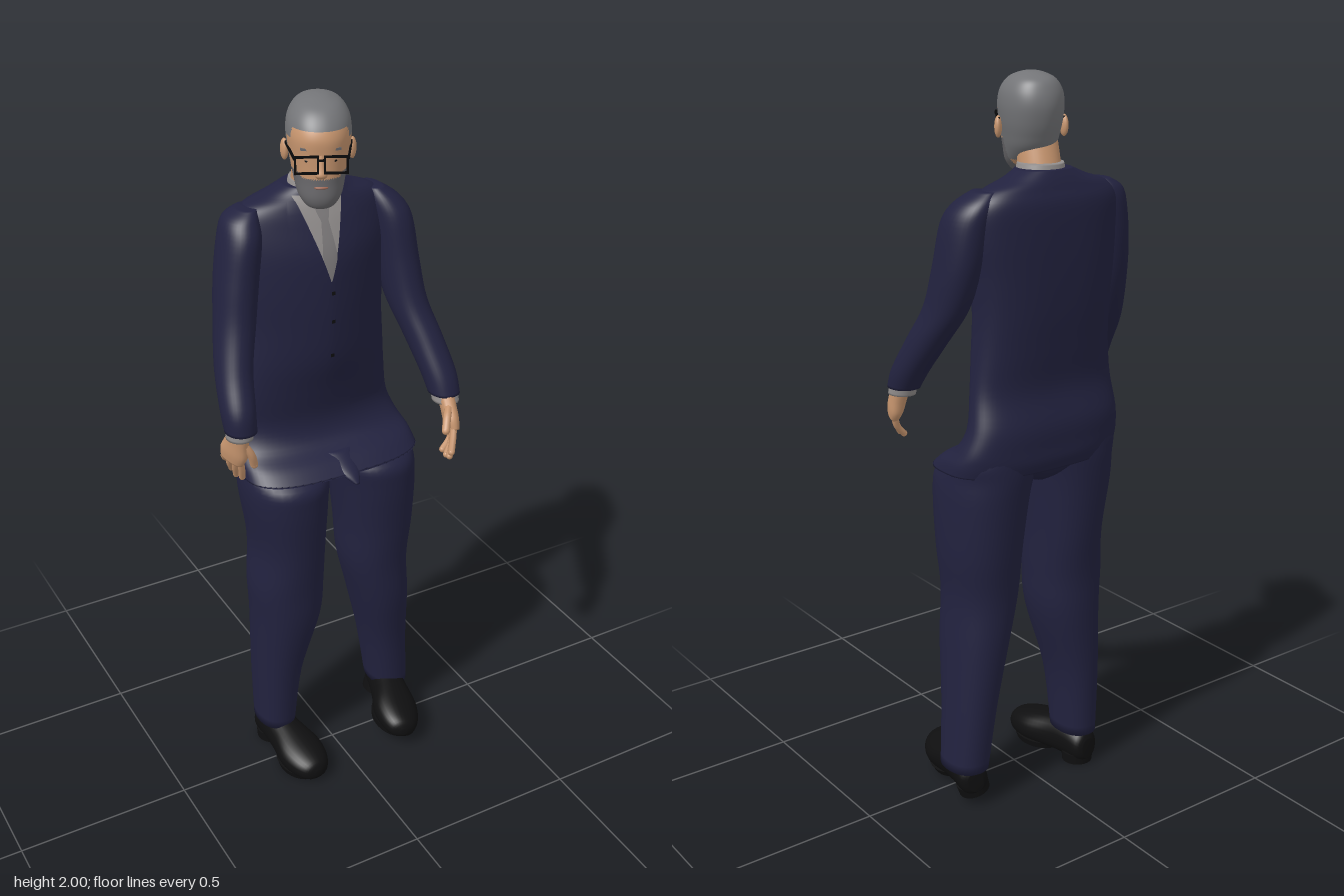
import * as THREE from 'three';

const mat = (name, hex) => {
  const m = new THREE.MeshStandardMaterial({ color: hex });
  m.name = name;
  return m;
};

// Smoothly interpolated cross-section [x, y, z, rx, rz, front squareness] at ring position t
function section(rings, t) {
  const i = Math.min(Math.floor(t), rings.length - 2), u = t - i;
  const r = k => rings[THREE.MathUtils.clamp(k, 0, rings.length - 1)];
  return r(i).map((b, k) => {
    const a = r(i - 1)[k], c = r(i + 1)[k], d = r(i + 2)[k];
    return b + 0.5 * u * (c - a + u * (2 * a - 5 * b + 4 * c - d + u * (3 * (b - c) + d - a)));
  });
}

// Closed body through horizontal rings listed from bottom to top
function loft(rings, n = 2, segs = 36, steps = 5) {
  const pos = [], idx = [], rows = (rings.length - 1) * steps;
  const bend = (v, p) => Math.sign(v) * Math.abs(v) ** (2 / p);
  for (let i = 0; i <= rows; i++) {
    const [x, y, z, rx, rz, front = n] = section(rings, i / steps);
    for (let j = 0; j < segs; j++) {
      const a = (j / segs) * Math.PI * 2, p = Math.sin(a) > 0 ? front : n;
      pos.push(x + rx * bend(Math.cos(a), p), y, z + rz * bend(Math.sin(a), p));
    }
  }
  for (let i = 0; i < rows; i++) for (let j = 0; j < segs; j++) {
    const a = i * segs + j, b = i * segs + (j + 1) % segs;
    idx.push(a, a + segs, b, b, a + segs, b + segs);
  }
  const lo = rings[0], hi = rings[rings.length - 1], c = pos.length / 3, top = rows * segs;
  pos.push(lo[0], lo[1], lo[2], hi[0], hi[1], hi[2]);
  for (let j = 0; j < segs; j++) {
    const k = (j + 1) % segs;
    idx.push(c, j, k, c + 1, top + k, top + j);
  }
  return geometry(pos, idx);
}

function geometry(pos, idx) {
  const g = new THREE.BufferGeometry();
  g.setAttribute('position', new THREE.Float32BufferAttribute(pos, 3));
  g.setIndex(idx);
  g.computeVertexNormals();
  return g;
}

// Thin panel lying on the front of a lofted body, between left(y) and right(y)
function panel(rings, y0, y1, left, right, off) {
  const pos = [], idx = [], R = 14, C = 8;
  for (let i = 0; i <= R; i++) {
    const y = y0 + (y1 - y0) * i / R;
    let a = 0, b = rings.length - 1;
    for (let k = 0; k < 30; k++) {
      const m = (a + b) / 2;
      if (section(rings, m)[1] < y) a = m; else b = m;
    }
    const [cx, , cz, rx, rz, n] = section(rings, a);
    for (let j = 0; j <= C; j++) {
      const x = left(y) + (right(y) - left(y)) * j / C;
      const d = Math.min(1, Math.abs((x - cx) / rx));
      pos.push(x, y, cz + rz * (1 - d ** n) ** (1 / n) + off);
    }
  }
  for (let i = 0; i < R; i++) for (let j = 0; j < C; j++) {
    const a = i * (C + 1) + j, b = a + C + 1;
    idx.push(a, a + 1, b, a + 1, b + 1, b);
  }
  return geometry(pos, idx);
}

// Sort triangles into material groups by their centre
function paint(g, count, rule) {
  const p = g.attributes.position, old = g.index.array, sets = Array.from({ length: count }, () => []);
  for (let i = 0; i < old.length; i += 3) {
    const f = [old[i], old[i + 1], old[i + 2]];
    const mid = fn => f.reduce((s, k) => s + fn(k), 0) / 3;
    sets[rule(mid(k => p.getX(k)), mid(k => p.getY(k)), mid(k => p.getZ(k)))].push(...f);
  }
  g.setIndex(sets.flat());
  let start = 0;
  sets.forEach((s, m) => { g.addGroup(start, s.length, m); start += s.length; });
  return g;
}

export function createModel() {
  const model = new THREE.Group();
  model.name = 'suitedMan';
  const suit = mat('navy cloth', 0x22223f), shirt = mat('grey shirt', 0x928e8d), tie = mat('grey tie', 0x7d7a7b);
  const skin = mat('skin', 0xc8966f), hair = mat('grey hair', 0x747578), beard = mat('grey beard', 0x69686b);
  const leather = mat('black leather', 0x0f0f10), frame = mat('black frame', 0x080809), lip = mat('lips', 0x9a6450);
  const add = (name, geo, m, parent = model) => {
    const mesh = new THREE.Mesh(geo, m);
    mesh.name = name;
    parent.add(mesh);
    return mesh;
  };
  const group = (name, parent = model) => {
    const g = new THREE.Group();
    g.name = name;
    parent.add(g);
    return g;
  };

  // Jacket
  const torso = [[.015, .985, -.068, .262, .145, 3], [.015, 1.015, -.09, .258, .13, 2.8], [.012, 1.05, -.12, .248, .1, 2.5],
    [.005, 1.11, -.13, .234, .088, 2.1], [0, 1.2, -.112, .222, .084, 1.8], [0, 1.3, -.105, .212, .1, 1.65],
    [0, 1.4, -.107, .208, .109, 1.6], [0, 1.5, -.11, .215, .112, 1.6], [.005, 1.6, -.115, .224, .109, 1.6],
    [.005, 1.68, -.127, .222, .094, 1.7], [.005, 1.72, -.13, .19, .078, 1.9], [.005, 1.745, -.13, .12, .068, 2],
    [.005, 1.765, -.125, .074, .062, 2]];
  add('jacket', loft(torso, 2.6, 64), suit);
  add('jacketFrontTip', loft([[.025, .965, .088, .01, .014], [.02, .99, .055, .03, .024], [.015, 1.03, -.005, .045, .024]]), suit);
  const vee = y => .062 * (y - 1.53) / .2;
  const onChest = (name, m, y0, y1, l, r, off) => add(name, panel(torso, y0, y1, l, r, off), m);
  onChest('shirtFront', shirt, 1.53, 1.75, y => -.005 - vee(y), y => -.005 + vee(y), .004);
  const tieHalf = y => y > 1.69 ? .013 + (y - 1.69) * .25 : Math.min(.01 + (1.69 - y) * .12, vee(y));
  onChest('tie', tie, 1.535, 1.73, y => -.005 - tieHalf(y), y => -.005 + tieHalf(y), .008);
  const flare = y => vee(y) + .055 * Math.sin(Math.PI * Math.min(1, (y - 1.52) / .24)) ** .7;
  onChest('leftLapel', suit, 1.525, 1.74, y => -.005 + Math.max(0, vee(y)), y => -.005 + flare(y), .008);
  onChest('rightLapel', suit, 1.525, 1.74, y => -.005 - flare(y), y => -.005 - Math.max(0, vee(y)), .008);
  for (const s of [-1, 1])
    onChest('pocketFlap', suit, 1.13, 1.165, () => s * .13 - .055, () => s * .13 + .055, .007);
  for (const y of [1.32, 1.42, 1.5])
    onChest('button', leather, y - .005, y + .005, () => -.005, () => .005, .006);

  // Trousers
  add('trouserSeat', loft([[.015, .935, -.08, .03, .07], [.015, .96, -.085, .09, .105], [.015, 1.0, -.095, .17, .117],
    [.012, 1.06, -.13, .2, .085]], 2.2), suit);
  add('rightTrouserLeg', loft([[-.16, .1, -.075, .056, .076], [-.152, .3, -.07, .069, .09], [-.127, .5, -.058, .098, .11],
    [-.125, .62, -.055, .106, .115], [-.118, .75, -.058, .103, .128], [-.123, .9, -.06, .117, .142],
    [-.12, .97, -.068, .121, .14], [-.115, 1.02, -.11, .118, .098], [-.11, 1.08, -.13, .1, .075]], 2.2), suit);
  add('leftTrouserLeg', loft([[.23, .11, -.075, .06, .076], [.208, .3, -.07, .068, .09], [.181, .48, -.058, .084, .11],
    [.16, .62, -.055, .097, .115], [.162, .75, -.058, .107, .128], [.156, .9, -.06, .117, .142],
    [.147, .97, -.068, .121, .14], [.14, 1.02, -.11, .118, .098], [.12, 1.08, -.13, .1, .075]], 2.2), suit);

  // Sleeves and shirt cuffs
  add('rightSleeve', loft([[-.283, 1.18, .022, .042, .046], [-.282, 1.24, .005, .045, .055], [-.266, 1.33, -.045, .048, .06],
    [-.24, 1.44, -.085, .053, .066], [-.222, 1.55, -.105, .055, .073], [-.205, 1.65, -.115, .053, .074],
    [-.195, 1.7, -.125, .044, .06], [-.178, 1.724, -.128, .024, .038]], 2.1), suit);
  add('leftSleeve', loft([[.29, 1.185, .1, .042, .047], [.286, 1.24, .07, .047, .056], [.27, 1.33, .01, .05, .064],
    [.25, 1.42, -.045, .052, .07], [.238, 1.53, -.08, .055, .076], [.225, 1.64, -.098, .055, .075],
    [.208, 1.69, -.112, .046, .063], [.185, 1.722, -.124, .024, .04]], 2.1), suit);
  add('rightCuff', loft([[-.286, 1.16, .02, .036, .039], [-.285, 1.2, .017, .036, .039]]), shirt);
  add('leftCuff', loft([[.29, 1.164, .11, .036, .04], [.29, 1.2, .098, .036, .04]]), shirt);

  // Hands
  function hand(name, x, y, z, tilt, turn, swing, inward) {
    const h = group(name);
    h.position.set(x, y, z);
    h.rotation.set(tilt, turn, swing);
    add('palm', loft([[0, -.1, 0, .016, .036], [0, -.07, 0, .021, .042], [0, -.03, 0, .022, .034], [0, .03, 0, .024, .025]], 2.3, 20), skin, h);
    const finger = (n, px, py, pz, r, pts) => add(n, new THREE.TubeGeometry(new THREE.CatmullRomCurve3(
      pts.map(([a, b, c]) => new THREE.Vector3(px + a * inward, py + b, pz + c))), 10, r, 8), skin, h);
    [.055, .07, .075, .065].forEach((len, i) => {
      const pz = -.027 + i * .018, curl = .036 - i * .005;
      finger('finger', 0, -.09, pz, .0092, [[0, 0, 0], [.01, -len * .5, pz * .15], [curl, -len, pz * .2]]);
      const tip = add('fingertip', new THREE.SphereGeometry(.0092, 10, 8), skin, h);
      tip.position.set(curl * inward, -.09 - len, pz * 1.2);
    });
    finger('thumb', 0, -.03, .02, .011, [[0, 0, 0], [.014, -.03, .024], [.026, -.065, .034]]);
    add('thumbTip', new THREE.SphereGeometry(.011, 10, 8), skin, h).position.set(.026 * inward, -.095, .054);
  }
  hand('rightHand', -.288, 1.178, .025, .36, .45, -.12, 1);
  hand('leftHand', .288, 1.18, .115, -.56, -.4, -.05, -1);

  // Shoes, built heel to toe
  function shoe(name, x, y, yaw, roll) {
    const s = group(name);
    s.position.set(x, y, -.06);
    s.rotation.set(0, yaw, roll);
    const upper = loft([[0, -.088, -.05, .022, .03], [0, -.07, -.055, .042, .048], [0, -.01, -.062, .048, .058],
      [0, .05, -.056, .055, .056], [0, .12, -.048, .068, .05], [0, .175, -.042, .06, .042],
      [0, .212, -.038, .039, .03], [0, .225, -.036, .01, .01]], 2.2, 28).rotateX(Math.PI / 2);
    const p = upper.attributes.position;
    for (let i = 0; i < p.count; i++) p.setY(i, Math.max(.016, p.getY(i)));
    upper.computeVertexNormals();
    add('shoeUpper', upper, leather, s);
    const ball = add('sole', new THREE.CylinderGeometry(.066, .06, .02, 28), leather, s);
    ball.scale.z = 1.3;
    ball.position.set(0, .01, .122);
    const heel = add('heel', new THREE.CylinderGeometry(.046, .044, .03, 24), leather, s);
    heel.position.set(0, .015, -.04);
  }
  shoe('rightShoe', -.155, 0, .09, 0);
  shoe('leftShoe', .204, .032, -.24, -.28);

  // Neck and shirt collar
  add('neck', loft([[.005, 1.7, -.12, .058, .058], [.003, 1.76, -.112, .055, .057], [0, 1.84, -.09, .055, .055]]), skin);
  add('shirtCollar', loft([[.005, 1.715, -.12, .07, .068], [.005, 1.75, -.118, .066, .065], [.005, 1.778, -.118, .059, .06]]), shirt);

  // Head, turned to its right
  const head = group('head');
  head.position.set(.005, 0, -.08);
  head.rotation.y = -.44;
  const skull = loft([[0, 1.738, .077, .02, .022], [0, 1.748, .074, .038, .042], [0, 1.772, .054, .056, .071],
    [0, 1.81, .03, .066, .094], [0, 1.845, .02, .073, .104], [0, 1.88, .014, .079, .111], [0, 1.92, .011, .082, .115],
    [0, 1.955, .006, .076, .104], [0, 1.982, 0, .057, .081], [0, 1.996, -.003, .028, .041], [0, 2, -.003, .004, .006]], 2.2, 80, 7);
  const headRule = (x, y, z) => {
    const hairline = z > .075 ? 1.94 : z > .045 ? 1.915 : z > .015 ? 1.835 : 1.78;
    if (y > hairline) return 1;
    return z > .012 && y < (z > .1 ? 1.823 : 1.832) ? 2 : 0;
  };
  add('skull', paint(skull, 3, headRule), [skin, hair, beard], head);
  add('nose', loft([[0, 1.826, .119, .011, .011], [0, 1.836, .122, .016, .018], [0, 1.855, .118, .011, .016],
    [0, 1.89, .114, .008, .01]], 2, 16), skin, head);
  const mouth = add('lips', new THREE.SphereGeometry(1, 16, 8), lip, head);
  mouth.scale.set(.018, .004, .006);
  mouth.position.set(0, 1.802, .122);
  for (const s of [-1, 1]) {
    const ear = add('ear', new THREE.SphereGeometry(1, 16, 12), skin, head);
    ear.scale.set(.01, .028, .016);
    ear.position.set(s * .085, 1.862, .004);
    ear.rotation.y = s * -.3;
    const eye = add('eye', new THREE.SphereGeometry(1, 12, 8), frame, head);
    eye.scale.set(.009, .004, .004);
    eye.position.set(s * .031, 1.868, .113);
    const brow = add('eyebrow', new THREE.BoxGeometry(.034, .006, .006), beard, head);
    brow.position.set(s * .033, 1.897, .115);
    brow.rotation.y = s * .35;
  }

  // Glasses
  const glasses = group('glasses', head);
  const rect = (path, w, h) => path.moveTo(-w, -h).lineTo(w, -h).lineTo(w, h).lineTo(-w, h).closePath();
  for (const s of [-1, 1]) {
    const rim = rect(new THREE.Shape(), .03, .023);
    rim.holes.push(rect(new THREE.Path(), .025, .018));
    add('rim', new THREE.ExtrudeGeometry(rim, { depth: .006, bevelEnabled: false }), frame, glasses)
      .position.set(s * .036, 1.866, .135);
    const arm = add('temple', new THREE.BoxGeometry(.005, .006, .145), frame, glasses);
    arm.position.set(s * .075, 1.883, .067);
    arm.rotation.y = s * -.13;
  }
  add('bridge', new THREE.BoxGeometry(.016, .005, .006), frame, glasses).position.set(0, 1.877, .138);
  return model;
}
